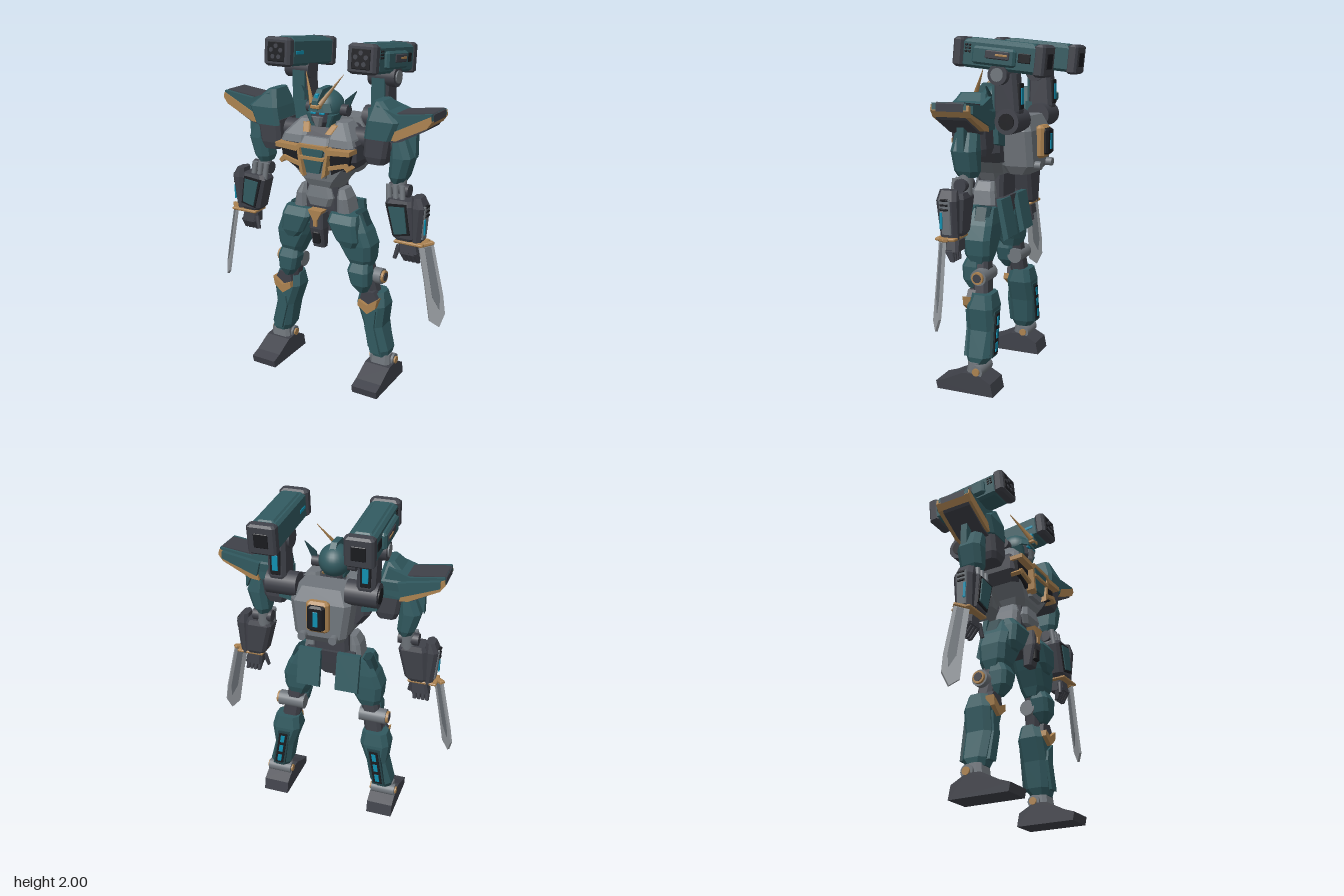
import * as THREE from 'three';

const paint = (name, color) => {
  const m = new THREE.MeshStandardMaterial({ color });
  m.name = name;
  return m;
};
const teal = paint('teal armour', 0x31595f), deep = paint('deep teal', 0x234248);
const dark = paint('dark frame', 0x3f4149), black = paint('black inset', 0x1b1c20);
const grey = paint('grey plate', 0x6f757b), steel = paint('blade steel', 0x989da2);
const tan = paint('tan trim', 0xab8250), cyan = paint('cyan glow', 0x0f8fb0);

function add(parent, name, geometry, material) {
  const mesh = new THREE.Mesh(geometry, material);
  mesh.name = name;
  parent.add(mesh);
  return mesh;
}

// Stack of chamfered rectangles, bottom to top: [y, x0, x1, z0, z1]
function loft(parent, name, material, sections, c = 0.02) {
  const rings = sections.map(([y, x0, x1, z0, z1]) => {
    const k = Math.min(c, (x1 - x0) * 0.4, (z1 - z0) * 0.4);
    return [[x1, z0 + k], [x1, z1 - k], [x1 - k, z1], [x0 + k, z1], [x0, z1 - k], [x0, z0 + k], [x0 + k, z0], [x1 - k, z0]]
      .map(([x, z]) => [x, y, z]);
  });
  const out = [], tri = (...p) => p.forEach((v) => out.push(...v));
  for (let i = 0; i + 1 < rings.length; i++) for (let j = 0; j < 8; j++) {
    const n = (j + 1) % 8, a = rings[i][j], b = rings[i][n], d = rings[i + 1][j], e = rings[i + 1][n];
    tri(a, d, e); tri(a, e, b);
  }
  const top = rings[rings.length - 1], low = rings[0];
  for (let j = 1; j < 7; j++) { tri(top[0], top[j + 1], top[j]); tri(low[0], low[j], low[j + 1]); }
  const g = new THREE.BufferGeometry();
  g.setAttribute('position', new THREE.Float32BufferAttribute(out, 3));
  g.computeVertexNormals();
  return add(parent, name, g, material);
}

// Box with bevelled edges, given by its limits
const block = (parent, name, m, x0, x1, y0, y1, z0, z1, c = 0.01) => loft(parent, name, m, [
  [y0, x0 + c, x1 - c, z0 + c, z1 - c], [y0 + c, x0, x1, z0, z1],
  [y1 - c, x0, x1, z0, z1], [y1, x0 + c, x1 - c, z0 + c, z1 - c]], c);

const polygon = (pts) => new THREE.Shape(pts.map(([u, v]) => new THREE.Vector2(u, v)));
const extrude = (pts, depth) => new THREE.ExtrudeGeometry(polygon(pts), { depth, bevelEnabled: false });
// Outline in x,y between two z values
const plate = (p, name, m, pts, z0, z1) => add(p, name, extrude(pts, z1 - z0).translate(0, 0, z0), m);
// Outline in z,y between two x values
const sidePlate = (p, name, m, pts, x0, x1) =>
  add(p, name, extrude(pts, x1 - x0).rotateY(-Math.PI / 2).translate(x1, 0, 0), m);

function rod(parent, name, m, a, b, r0, r1 = r0, seg = 20) {
  const A = new THREE.Vector3(...a), B = new THREE.Vector3(...b), d = B.clone().sub(A);
  const mesh = add(parent, name, new THREE.CylinderGeometry(r1, r0, d.length(), seg), m);
  mesh.position.copy(A).add(B).multiplyScalar(0.5);
  mesh.quaternion.setFromUnitVectors(new THREE.Vector3(0, 1, 0), d.normalize());
  return mesh;
}

// Copy of a side reflected in x, with the winding put right
function mirrored(source, name) {
  const out = new THREE.Group();
  out.name = name;
  source.updateMatrixWorld(true);
  source.traverse((o) => {
    if (!o.isMesh) return;
    const g = (o.geometry.index ? o.geometry.toNonIndexed() : o.geometry.clone()).applyMatrix4(o.matrixWorld).scale(-1, 1, 1);
    for (const { array, itemSize: n } of Object.values(g.attributes))
      for (let i = 0; i < array.length; i += 3 * n) for (let k = 0; k < n; k++)
        [array[i + n + k], array[i + 2 * n + k]] = [array[i + 2 * n + k], array[i + n + k]];
    add(out, o.name, g, o.material);
  });
  return out;
}

function buildLeg(s) {
  sidePlate(s, 'foot', dark, [[-0.05, 0], [0.3, 0], [0.31, 0.045], [0.25, 0.065], [0.14, 0.12], [0.06, 0.125], [-0.035, 0.075]], 0.27, 0.43);
  rod(s, 'ankle', grey, [0.275, 0.135, 0.055], [0.425, 0.135, 0.055], 0.037);
  rod(s, 'ankleCap', tan, [0.265, 0.135, 0.055], [0.435, 0.135, 0.055], 0.022);
  loft(s, 'ankleBlock', grey, [[0.1, 0.285, 0.415, 0.04, 0.13], [0.18, 0.29, 0.41, 0.04, 0.12]]);
  loft(s, 'shin', teal, [[0.17, 0.29, 0.4, 0.02, 0.13], [0.21, 0.27, 0.405, -0.005, 0.14], [0.36, 0.245, 0.365, -0.015, 0.145],
    [0.49, 0.2, 0.38, -0.015, 0.145], [0.57, 0.21, 0.36, 0, 0.12]], 0.03);
  plate(s, 'shinRidge', teal, [[0.31, 0.2], [0.37, 0.2], [0.33, 0.36], [0.34, 0.47], [0.28, 0.42], [0.27, 0.36]], 0.13, 0.158);
  plate(s, 'kneeChevron', tan, [[0.29, 0.45], [0.345, 0.495], [0.355, 0.55], [0.29, 0.505], [0.235, 0.53], [0.23, 0.495]], 0.12, 0.17);
  plate(s, 'kneeInset', dark, [[0.29, 0.505], [0.345, 0.545], [0.32, 0.585], [0.245, 0.575], [0.235, 0.53]], 0.1, 0.15);
  // calf panel with glowing strips
  const strip = (y0, y1, w) => [y0, y0, y1, y1].map((y, i) => [0.368 - y * 0.16 + (i === 1 || i === 2 ? w : -w), y]);
  plate(s, 'calfFrame', deep, strip(0.21, 0.47, 0.038), -0.022, 0);
  plate(s, 'calfPanel', black, strip(0.225, 0.455, 0.027), -0.027, 0);
  for (const y of [0.24, 0.315, 0.39]) plate(s, 'calfGlow', cyan, strip(y, y + 0.05, 0.013), -0.031, -0.026);
  // knee joint
  rod(s, 'kneeJoint', grey, [0.18, 0.665, 0.075], [0.345, 0.665, 0.075], 0.047);
  rod(s, 'kneeRing', tan, [0.34, 0.665, 0.075], [0.36, 0.665, 0.075], 0.036);
  rod(s, 'kneeCap', dark, [0.34, 0.665, 0.075], [0.363, 0.665, 0.075], 0.025);
  loft(s, 'kneeFrame', dark, [[0.54, 0.22, 0.33, 0.03, 0.12], [0.78, 0.18, 0.28, 0.05, 0.15]]);
  loft(s, 'kneeArmour', teal, [[0.58, 0.225, 0.28, 0.12, 0.175], [0.63, 0.19, 0.3, 0.09, 0.2], [0.71, 0.17, 0.3, 0.09, 0.205], [0.76, 0.18, 0.29, 0.09, 0.18]]);
  // thigh and hip armour
  loft(s, 'thigh', teal, [[0.73, 0.17, 0.29, 0.05, 0.17], [0.78, 0.15, 0.305, 0.035, 0.19], [0.87, 0.1, 0.31, 0.03, 0.2],
    [0.95, 0.06, 0.28, 0.03, 0.2], [1.04, 0.05, 0.23, 0.04, 0.18]], 0.03);
  loft(s, 'frontSkirt', teal, [[0.86, 0.15, 0.23, 0.17, 0.22], [0.9, 0.11, 0.25, 0.17, 0.235], [1.0, 0.06, 0.24, 0.15, 0.24], [1.045, 0.065, 0.23, 0.14, 0.21]]);
  sidePlate(s, 'rearSkirt', teal, [[0.03, 1.09], [0, 1.09], [-0.045, 0.87], [-0.015, 0.85]], 0.05, 0.19);
  loft(s, 'sideSkirt', deep, [[0.93, 0.24, 0.285, 0.05, 0.15], [1.05, 0.19, 0.235, 0.05, 0.15]]);
  loft(s, 'waistPod', grey, [[1.05, 0.1, 0.18, 0.05, 0.2], [1.13, 0.1, 0.165, 0.06, 0.2], [1.18, 0.1, 0.14, 0.07, 0.18]]);
}

function buildArm(s) {
  rod(s, 'shoulderJoint', dark, [0.15, 1.47, 0.09], [0.42, 1.47, 0.09], 0.06);
  // shoulder armour and its swept wing
  loft(s, 'shoulderBox', dark, [[1.36, 0.28, 0.385, 0.01, 0.19], [1.4, 0.265, 0.4, 0, 0.2], [1.53, 0.27, 0.42, 0, 0.2]]);
  loft(s, 'shoulderCap', teal, [[1.5, 0.27, 0.43, -0.01, 0.205], [1.6, 0.285, 0.47, -0.02, 0.205], [1.7, 0.31, 0.36, 0.02, 0.17]], 0.02);
  plate(s, 'wing', teal, [[0.34, 1.68], [0.46, 1.64], [0.65, 1.665], [0.655, 1.63], [0.41, 1.51], [0.3, 1.53]], -0.015, 0.18);
  plate(s, 'wingTop', dark, [[0.44, 1.645], [0.645, 1.668], [0.655, 1.66], [0.655, 1.62], [0.645, 1.65], [0.45, 1.63]], 0, 0.155);
  plate(s, 'wingRim', teal, [[0.4, 1.61], [0.63, 1.65], [0.63, 1.61], [0.42, 1.53]], -0.042, -0.015);
  plate(s, 'wingStripe', tan, [[0.65, 1.655], [0.42, 1.54], [0.41, 1.5], [0.46, 1.505], [0.63, 1.59], [0.655, 1.625]], -0.03, 0.187);
  plate(s, 'wingUnderside', dark, [[0.63, 1.59], [0.46, 1.505], [0.41, 1.5], [0.42, 1.485], [0.48, 1.5], [0.62, 1.575]], 0, 0.17);
  plate(s, 'wingSpike', teal, [[0.48, 1.52], [0.535, 1.54], [0.535, 1.4]], 0.06, 0.1);
  // upper arm and elbow
  loft(s, 'upperArm', teal, [[1.255, 0.4, 0.47, 0.03, 0.14], [1.29, 0.39, 0.49, 0.015, 0.155], [1.4, 0.4, 0.52, 0.01, 0.16], [1.5, 0.39, 0.48, 0.02, 0.15]], 0.03);
  rod(s, 'elbowPost', grey, [0.445, 1.16, 0.1], [0.44, 1.3, 0.09], 0.04);
  rod(s, 'elbow', dark, [0.39, 1.215, 0.1], [0.51, 1.215, 0.1], 0.036);
  for (const x of [0.4, 0.44, 0.48]) rod(s, 'elbowPiston', grey, [x + 0.01, 1.15, 0.15], [x, 1.25, 0.14], 0.016);
  // forearm
  loft(s, 'forearm', dark, [[0.94, 0.47, 0.56, 0.08, 0.17], [0.97, 0.44, 0.575, 0.065, 0.185], [1.15, 0.395, 0.56, 0.06, 0.19], [1.18, 0.41, 0.55, 0.07, 0.18]]);
  const panel = [[0.41, 1.155], [0.53, 1.165], [0.555, 0.995], [0.46, 0.975]];
  plate(s, 'forearmFrame', black, panel, 0.17, 0.193);
  plate(s, 'forearmPanel', teal, panel.map(([x, y]) => [0.489 + (x - 0.489) * 0.78, 1.07 + (y - 1.07) * 0.85]), 0.17, 0.2);
  loft(s, 'forearmPod', dark, [[0.94, 0.55, 0.605, 0.075, 0.175], [1.15, 0.55, 0.625, 0.07, 0.19], [1.205, 0.55, 0.6, 0.08, 0.18]]);
  loft(s, 'podPlate', grey, [[0.97, 0.6, 0.617, 0.1, 0.155], [1.16, 0.6, 0.632, 0.1, 0.165]], 0.005);
  block(s, 'podGlow', cyan, 0.622, 0.63, 1.0, 1.09, 0.145, 0.16, 0.002);
  for (const y of [1.1, 1.125, 1.15]) block(s, 'podVent', black, 0.61, 0.635, y, y + 0.012, 0.11, 0.155, 0.002);
  block(s, 'cuff', tan, 0.46, 0.63, 0.937, 0.953, 0.075, 0.19, 0.004);
  // hand
  loft(s, 'hand', dark, [[0.87, 0.475, 0.585, 0.08, 0.165], [0.93, 0.47, 0.57, 0.085, 0.16]], 0.015);
  for (let i = 0; i < 4; i++) loft(s, 'finger', dark, [[0.815, 0.492 + i * 0.025, 0.512 + i * 0.025, 0.1, 0.125],
    [0.88, 0.479 + i * 0.027, 0.503 + i * 0.027, 0.11, 0.165]], 0.005);
  rod(s, 'thumb', dark, [0.475, 0.91, 0.15], [0.455, 0.835, 0.16], 0.015, 0.011, 8);
  // blade, turned halfway between front and side
  const sword = new THREE.Group();
  sword.name = 'sword';
  sword.position.set(0.632, 0.94, 0.142);
  sword.rotation.set(0, Math.PI / 4, 0.19, 'ZYX');
  plate(sword, 'blade', steel, [[-0.042, 0], [0.042, 0], [0.055, -0.3], [0.05, -0.41], [0.005, -0.48], [-0.045, -0.43], [-0.04, -0.2]], -0.007, 0.007);
  plate(sword, 'bladeSpine', grey, [[-0.012, -0.01], [0.025, -0.01], [0.035, -0.3], [0.02, -0.38], [-0.01, -0.3]], -0.01, 0.01);
  block(sword, 'swordGuard', tan, -0.045, 0.045, -0.005, 0.015, -0.016, 0.016, 0.004);
  s.add(sword);
}

function buildCannon(s) {
  rod(s, 'lowerHinge', dark, [0.14, 1.545, -0.09], [0.32, 1.545, -0.09], 0.07);
  rod(s, 'lowerHingeCap', black, [0.31, 1.545, -0.09], [0.327, 1.545, -0.09], 0.045);
  loft(s, 'cannonArm', dark, [[1.52, 0.2, 0.3, -0.13, 0], [1.6, 0.2, 0.305, -0.15, 0], [1.8, 0.205, 0.31, -0.135, -0.005]]);
  plate(s, 'armFront', teal, [[0.215, 1.6], [0.295, 1.6], [0.295, 1.8], [0.215, 1.8]], -0.01, 0.005);
  plate(s, 'armFoot', teal, [[0.2, 1.4], [0.29, 1.42], [0.3, 1.62], [0.2, 1.62]], -0.03, 0.01);
  block(s, 'armRearPanel', black, 0.225, 0.285, 1.61, 1.75, -0.155, -0.13, 0.004);
  block(s, 'armRearGlow', cyan, 0.238, 0.272, 1.635, 1.725, -0.159, -0.15, 0.002);
  rod(s, 'upperHinge', dark, [0.19, 1.795, -0.05], [0.35, 1.795, -0.05], 0.056);
  rod(s, 'upperHingeCap', grey, [0.345, 1.795, -0.05], [0.358, 1.795, -0.05], 0.036);
  // tilted launcher
  const g = new THREE.Group();
  g.name = 'launcher';
  g.position.set(0.262, 1.89, -0.045);
  g.rotation.x = -0.1;
  block(g, 'launcherBody', teal, -0.076, 0.076, -0.074, 0.076, -0.23, 0.21, 0.015);
  block(g, 'topPlate', teal, -0.05, 0.05, 0.06, 0.084, -0.2, 0.18, 0.008);
  block(g, 'muzzle', dark, -0.084, 0.084, -0.076, 0.082, 0.2, 0.262, 0.014);
  block(g, 'muzzleInset', black, -0.055, 0.055, -0.05, 0.056, 0.255, 0.265, 0.003);
  for (let i = 0; i < 5; i++) {
    const a = Math.PI / 2 + i * Math.PI * 0.4, x = Math.cos(a) * 0.032, y = 0.003 + Math.sin(a) * 0.032;
    rod(g, 'muzzleTube', dark, [x, y, 0.255], [x, y, 0.268], 0.013, 0.013, 10);
  }
  block(g, 'launcherRear', dark, -0.08, 0.08, -0.084, 0.084, -0.268, -0.205, 0.012);
  block(g, 'rearInset', black, -0.04, 0.04, -0.04, 0.04, -0.272, -0.26, 0.003);
  block(g, 'sidePod', teal, 0.06, 0.1, -0.05, 0.045, -0.11, 0.14, 0.012);
  block(g, 'sidePanel', dark, 0.07, 0.105, -0.015, 0.03, -0.08, 0.06, 0.005);
  block(g, 'sideStripe', tan, 0.09, 0.108, 0.002, 0.014, -0.07, 0, 0.002);
  block(g, 'sideSlot', black, 0.07, 0.08, -0.02, 0.03, -0.19, -0.12, 0.003);
  for (let i = 0; i < 6; i++) block(g, 'sideVent', black, 0.07, 0.08, 0.005 + (i % 3) * 0.017, 0.017 + (i % 3) * 0.017,
    0.155 + (i > 2 ? 0.02 : 0), 0.17 + (i > 2 ? 0.02 : 0), 0.002);
  block(g, 'innerStripe', cyan, -0.079, -0.07, -0.01, 0.01, 0.1, 0.18, 0.002);
  s.add(g);
}

function buildChestSide(s) {
  plate(s, 'chestVent', black, [[0.085, 1.43], [0.225, 1.43], [0.21, 1.34], [0.1, 1.28]], 0.2, 0.245);
  plate(s, 'chestTrimTop', tan, [[0.07, 1.425], [0.1, 1.4], [0.235, 1.41], [0.235, 1.435], [0.1, 1.43], [0.08, 1.445]], 0.2, 0.285);
  plate(s, 'chestTrimLow', tan, [[0.09, 1.33], [0.2, 1.36], [0.225, 1.33], [0.21, 1.315], [0.19, 1.335], [0.095, 1.31]], 0.2, 0.265);
  plate(s, 'chestTrimInner', tan, [[0.085, 1.425], [0.1, 1.425], [0.08, 1.28], [0.055, 1.26], [0.06, 1.28]], 0.2, 0.28);
  loft(s, 'collarPlate', grey, [[1.44, 0.07, 0.23, 0.04, 0.25], [1.48, 0.07, 0.215, 0.04, 0.24], [1.56, 0.08, 0.15, 0.06, 0.17]]);
  loft(s, 'collarTrim', tan, [[1.5, 0.05, 0.09, 0.14, 0.23], [1.545, 0.07, 0.11, 0.1, 0.19]], 0.005);
  rod(s, 'backNozzle', grey, [0.09, 1.285, -0.13], [0.09, 1.285, -0.205], 0.024);
  // head side details
  rod(s, 'earPod', dark, [0.07, 1.615, 0.1], [0.13, 1.615, 0.1], 0.032);
  plate(s, 'earFin', deep, [[0.1, 1.62], [0.13, 1.63], [0.175, 1.725], [0.105, 1.67]], 0.09, 0.1);
  const horn = rod(s, 'antenna', tan, [0.025, 1.66, 0.235], [0.118, 1.815, 0.14], 0.016, 0.002, 4);
  horn.updateMatrix();
  block(s, 'eye', cyan, 0.012, 0.042, 1.602, 1.614, 0.205, 0.222, 0.002);
  loft(s, 'cheek', teal, [[1.53, 0.035, 0.06, 0.1, 0.195], [1.6, 0.045, 0.09, 0.08, 0.2]], 0.008);
}

export function createModel() {
  const model = new THREE.Group();
  model.name = 'robot';
  // pelvis and waist
  loft(model, 'pelvis', dark, [[0.92, -0.06, 0.06, 0.05, 0.17], [1.0, -0.15, 0.15, 0.03, 0.17], [1.09, -0.15, 0.15, 0.01, 0.18]]);
  loft(model, 'waist', dark, [[1.06, -0.11, 0.11, 0.03, 0.19], [1.22, -0.1, 0.1, 0.03, 0.19]]);
  loft(model, 'abdomen', grey, [[1.08, -0.07, 0.07, 0.15, 0.22], [1.13, -0.09, 0.09, 0.15, 0.225], [1.19, -0.07, 0.07, 0.15, 0.215]]);
  loft(model, 'crotchGuard', dark, [[0.83, -0.038, 0.038, 0.17, 0.22], [0.95, -0.045, 0.045, 0.17, 0.25], [1.04, -0.04, 0.04, 0.15, 0.245]], 0.01);
  block(model, 'crotchInset', black, -0.025, 0.025, 0.86, 0.93, 0.2, 0.25, 0.006);
  plate(model, 'crotchTrim', tan, [[-0.045, 1.06], [-0.012, 1.0], [-0.012, 0.965], [0.012, 0.965], [0.012, 1.0], [0.045, 1.06]], 0.2, 0.258);
  // chest
  loft(model, 'lowerChest', grey, [[1.18, -0.1, 0.1, 0.04, 0.2], [1.23, -0.13, 0.13, 0.03, 0.22], [1.34, -0.22, 0.22, 0.01, 0.235]], 0.04);
  loft(model, 'upperChest', dark, [[1.3, -0.19, 0.19, 0, 0.22], [1.36, -0.235, 0.235, 0, 0.235], [1.45, -0.235, 0.235, 0, 0.235], [1.53, -0.17, 0.17, 0.01, 0.19]], 0.03);
  loft(model, 'chestCore', grey, [[1.25, -0.06, 0.06, 0.18, 0.25], [1.44, -0.09, 0.09, 0.18, 0.265], [1.48, -0.08, 0.08, 0.15, 0.24]], 0.01);
  plate(model, 'coreTop', teal, [[-0.07, 1.42], [-0.06, 1.38], [0.06, 1.38], [0.07, 1.42]], 0.22, 0.28);
  plate(model, 'corePanel', teal, [[-0.06, 1.36], [-0.04, 1.285], [0.04, 1.285], [0.06, 1.36]], 0.22, 0.275);
  plate(model, 'coreTrim', tan, [[-0.08, 1.378], [-0.075, 1.362], [0.075, 1.362], [0.08, 1.378]], 0.22, 0.29);
  plate(model, 'coreTrimTop', tan, [[-0.09, 1.443], [-0.085, 1.425], [0.085, 1.425], [0.09, 1.443]], 0.22, 0.285);
  // backpack
  loft(model, 'backpack', grey, [[1.23, -0.12, 0.12, -0.13, 0], [1.28, -0.15, 0.15, -0.17, 0.02], [1.48, -0.175, 0.175, -0.165, 0.02], [1.56, -0.14, 0.14, -0.13, 0.02]], 0.03);
  block(model, 'backpackRing', tan, -0.065, 0.065, 1.32, 1.505, -0.205, -0.15, 0.015);
  block(model, 'backpackHatch', black, -0.05, 0.05, 1.34, 1.49, -0.228, -0.17, 0.012);
  block(model, 'backpackGlow', cyan, -0.014, 0.014, 1.37, 1.46, -0.232, -0.22, 0.002);
  // head
  rod(model, 'neck', dark, [0, 1.48, 0.1], [0, 1.58, 0.11], 0.05);
  const helmet = add(model, 'helmet', new THREE.SphereGeometry(0.098, 28, 18), teal);
  helmet.scale.set(0.95, 0.95, 1.05);
  helmet.position.set(0, 1.63, 0.11);
  loft(model, 'face', dark, [[1.53, -0.03, 0.03, 0.1, 0.2], [1.56, -0.048, 0.048, 0.1, 0.215], [1.625, -0.055, 0.055, 0.1, 0.212]], 0.015);
  loft(model, 'mask', grey, [[1.535, -0.018, 0.018, 0.18, 0.225], [1.59, -0.035, 0.035, 0.18, 0.235]], 0.012);
  loft(model, 'brow', teal, [[1.615, -0.075, 0.075, 0.13, 0.225], [1.66, -0.06, 0.06, 0.12, 0.215]], 0.03);
  sidePlate(model, 'crest', teal, [[0.25, 1.63], [0.245, 1.68], [0.19, 1.735], [0.09, 1.74], [0.05, 1.7], [0.2, 1.64]], -0.018, 0.018);
  block(model, 'crestGlow', cyan, -0.011, 0.011, 1.69, 1.715, 0.2, 0.232, 0.003);
  block(model, 'browBadge', tan, -0.028, 0.028, 1.635, 1.66, 0.21, 0.252, 0.006);
  // paired parts
  for (const [name, build] of [['Leg', buildLeg], ['Arm', buildArm], ['ShoulderCannon', buildCannon], ['BodyDetails', buildChestSide]]) {
    const side = new THREE.Group();
    side.name = 'left' + name;
    build(side);
    model.add(side, mirrored(side, 'right' + name));
  }
  return model;
}
